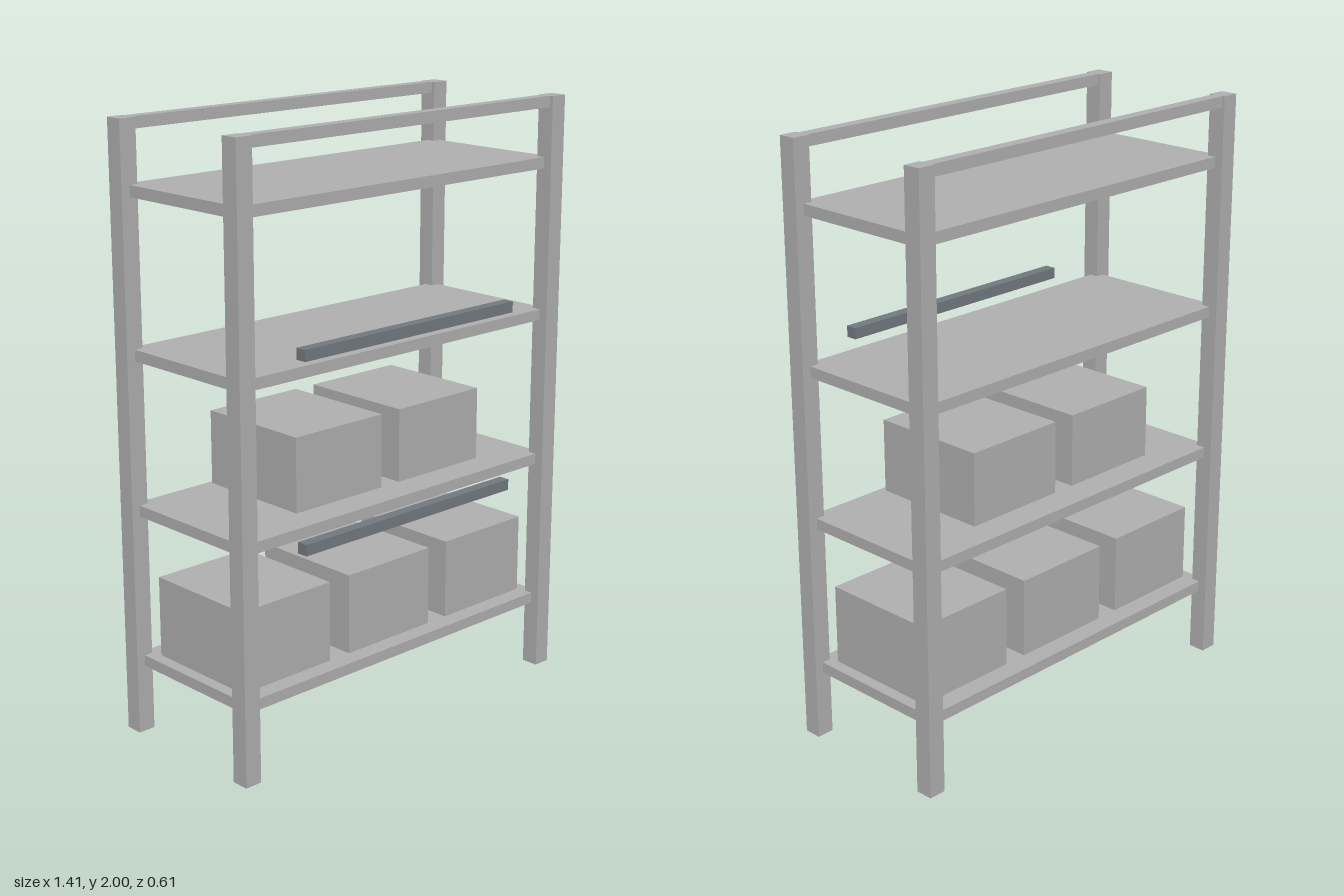
import * as THREE from 'three';

export function createModel() {
  const model = new THREE.Group();
  model.name = 'storageRack';
  const grey = new THREE.MeshStandardMaterial({ color: 0xb0b0b0 });
  grey.name = 'light grey';
  const slate = new THREE.MeshStandardMaterial({ color: 0x727a80 });
  slate.name = 'slate grey';

  // box with its base at height y
  function addBox(name, [w, h, d], [x, y, z], material = grey) {
    const mesh = new THREE.Mesh(new THREE.BoxGeometry(w, h, d), material);
    mesh.name = name;
    mesh.position.set(x, y + h / 2, z);
    model.add(mesh);
  }

  // corner posts and the top rails joining them
  for (const [side, z] of [['front', 0.261], ['back', -0.273]]) {
    addBox(side + 'LeftPost', [0.06, 2, 0.06], [0.673, 0, z]);
    addBox(side + 'RightPost', [0.06, 2, 0.06], [-0.673, 0, z]);
    addBox(side + 'TopRail', [1.346, 0.037, 0.04], [0, 1.963, z - 0.002]);
  }

  // shelves reach the post centres
  [0.228, 0.74, 1.249, 1.761].forEach((y, i) =>
    addBox('shelf' + (i + 1), [1.346, 0.037, 0.534], [0, y, -0.006]));

  // storage boxes
  for (const x of [-0.45, 0, 0.45]) addBox('lowerBox', [0.367, 0.27, 0.408], [x, 0.265, -0.003]);
  for (const x of [-0.223, 0.223]) addBox('upperBox', [0.367, 0.245, 0.408], [x, 0.8, -0.003]);

  // front label bars
  for (const y of [0.7, 1.313]) addBox('labelBar', [0.917, 0.037, 0.038], [0, y, 0.284], slate);

  return model;
}
